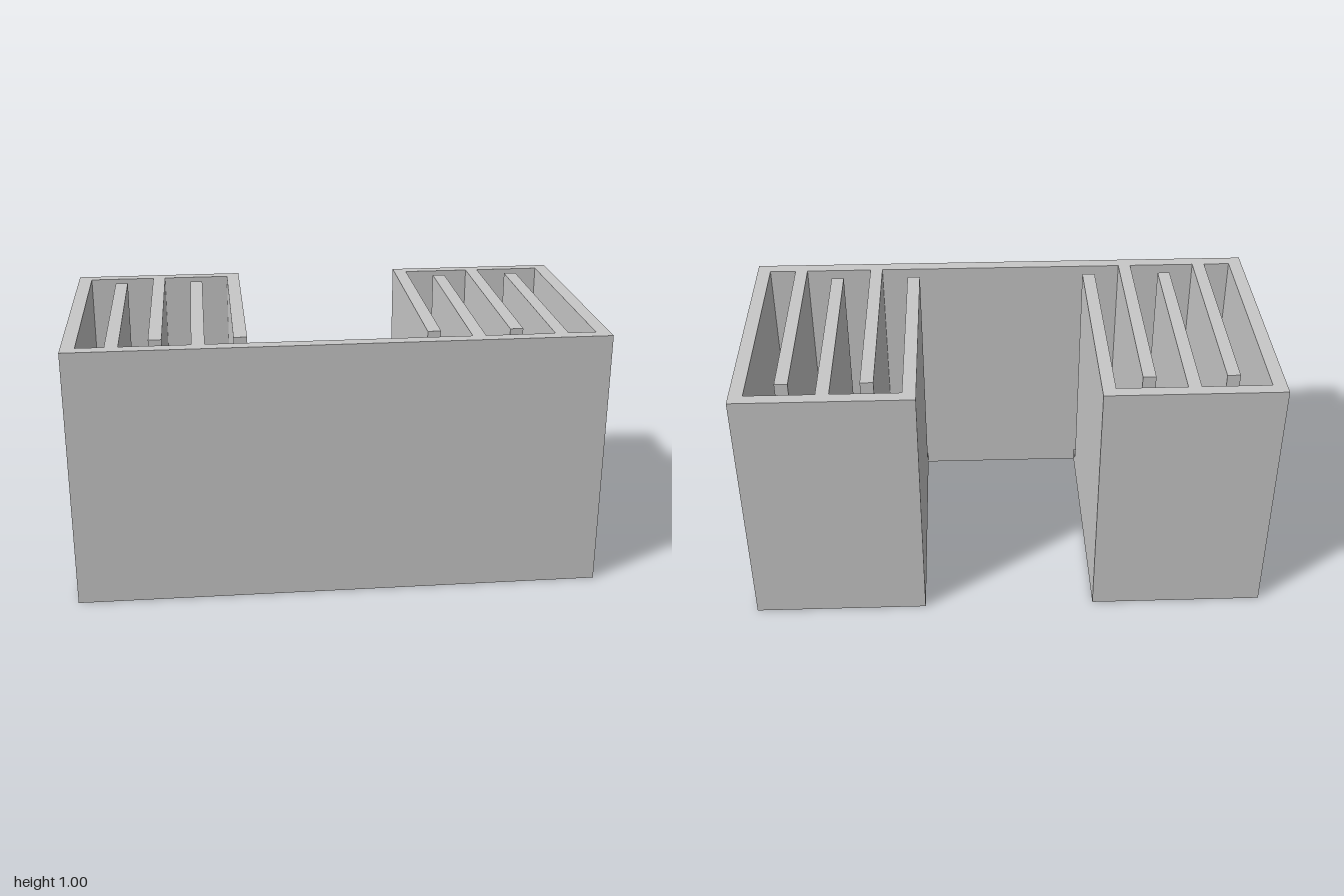
import * as THREE from 'three';

// Right half of the serpentine walls as [x, z], from the front corner round to the inner baffle
const WALLS = [
  [1, 0.5], [1, -0.5], [0.333, -0.5], [0.333, 0.383], [0.383, 0.383], // outer side, back, inner wall end
  [0.383, -0.453], [0.643, -0.453], [0.643, 0.383], [0.692, 0.383],   // baffle hanging from the back
  [0.692, -0.453], [0.948, -0.453], [0.948, 0.45],
  [0.845, 0.45], [0.845, -0.385], [0.796, -0.385], [0.796, 0.45],     // outer front baffle
  [0.537, 0.45], [0.537, -0.385], [0.488, -0.385], [0.488, 0.45],     // inner front baffle
];
const FLOOR = [[1, 0.5], [1, -0.5], [0.333, -0.5], [0.333, 0.45]];
const FLOOR_TOP = 0.05;

// Mirrors a half plan across x = 0 and raises it between two heights
function raisePlan(name, half, bottom, top, material) {
  const mirrored = half.map(([x, z]) => [-x, z]).reverse();
  const points = [...half, ...mirrored].map(([x, z]) => new THREE.Vector2(x, -z));
  const geometry = new THREE.ExtrudeGeometry(new THREE.Shape(points), {
    depth: top - bottom, bevelEnabled: false,
  });
  geometry.rotateX(-Math.PI / 2).translate(0, bottom, 0);
  const mesh = new THREE.Mesh(geometry, material);
  mesh.name = name;
  return mesh;
}

export function createModel() {
  const grey = new THREE.MeshStandardMaterial({ color: 0xc8c8c8 });
  grey.name = 'lightGrey';
  const model = new THREE.Group();
  model.name = 'baffledTroughs';
  model.add(
    raisePlan('floor', FLOOR, 0, FLOOR_TOP, grey),
    raisePlan('wallsAndBaffles', WALLS, FLOOR_TOP, 1, grey),
  );
  return model;
}
